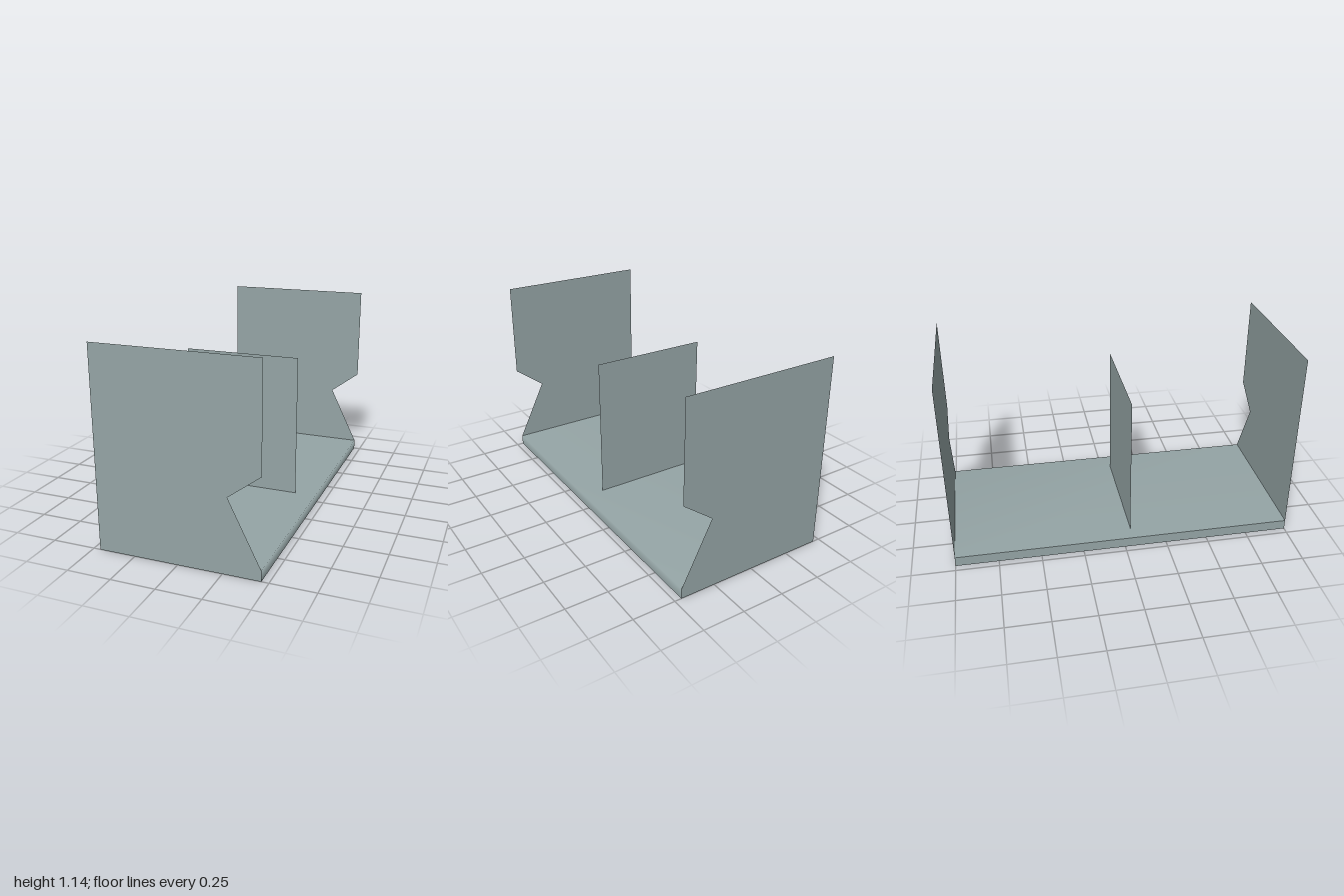
import * as THREE from 'three';

export function createModel() {
  const model = new THREE.Group();
  const grey = new THREE.MeshStandardMaterial({ color: 0x95a5a6, side: THREE.DoubleSide });
  grey.name = 'blueGrey';

  const W = 0.46, D = 1, FLOOR = 0.06, TOP = 1.14;

  const add = (geometry, name, z = 0) => {
    const mesh = new THREE.Mesh(geometry, grey);
    mesh.name = name;
    mesh.position.z = z;
    model.add(mesh);
  };

  // Thin upright sheet from an outline of x, y points
  const sheet = (points) =>
    new THREE.ShapeGeometry(new THREE.Shape(points.map(([x, y]) => new THREE.Vector2(x, y))));

  // Sheet swept along z from a profile, smooth across its bends
  const strip = (profile) => {
    const positions = [], index = [];
    profile.forEach(([x, y], i) => {
      positions.push(x, y, D, x, y, -D);
      if (i > 0) {
        const a = 2 * (i - 1);
        index.push(a, a + 2, a + 1, a + 1, a + 2, a + 3);
      }
    });
    const geometry = new THREE.BufferGeometry();
    geometry.setAttribute('position', new THREE.Float32BufferAttribute(positions, 3));
    geometry.setIndex(index);
    geometry.computeVertexNormals();
    return geometry;
  };

  // Notched end panels
  const endOutline = [
    [-W, 0], [W, 0], [W, FLOOR], [0.28, 0.425], [W, 0.56], [W, TOP], [-W, TOP],
  ];
  add(sheet(endOutline), 'frontPanel', D);
  add(sheet(endOutline), 'backPanel', -D);

  // Smaller divider, passing slightly through the shelf
  add(sheet([[-0.368, 0.05], [0.335, 0.05], [0.335, 0.908], [-0.368, 0.908]]), 'divider', 0.047);

  // Shelf turning down into its left lip, and the separate right lip
  add(strip([[-W, FLOOR], [W, FLOOR], [W, 0]]), 'shelf');
  add(strip([[-W, 0], [-W, FLOOR]]), 'rightLip');

  return model;
}
